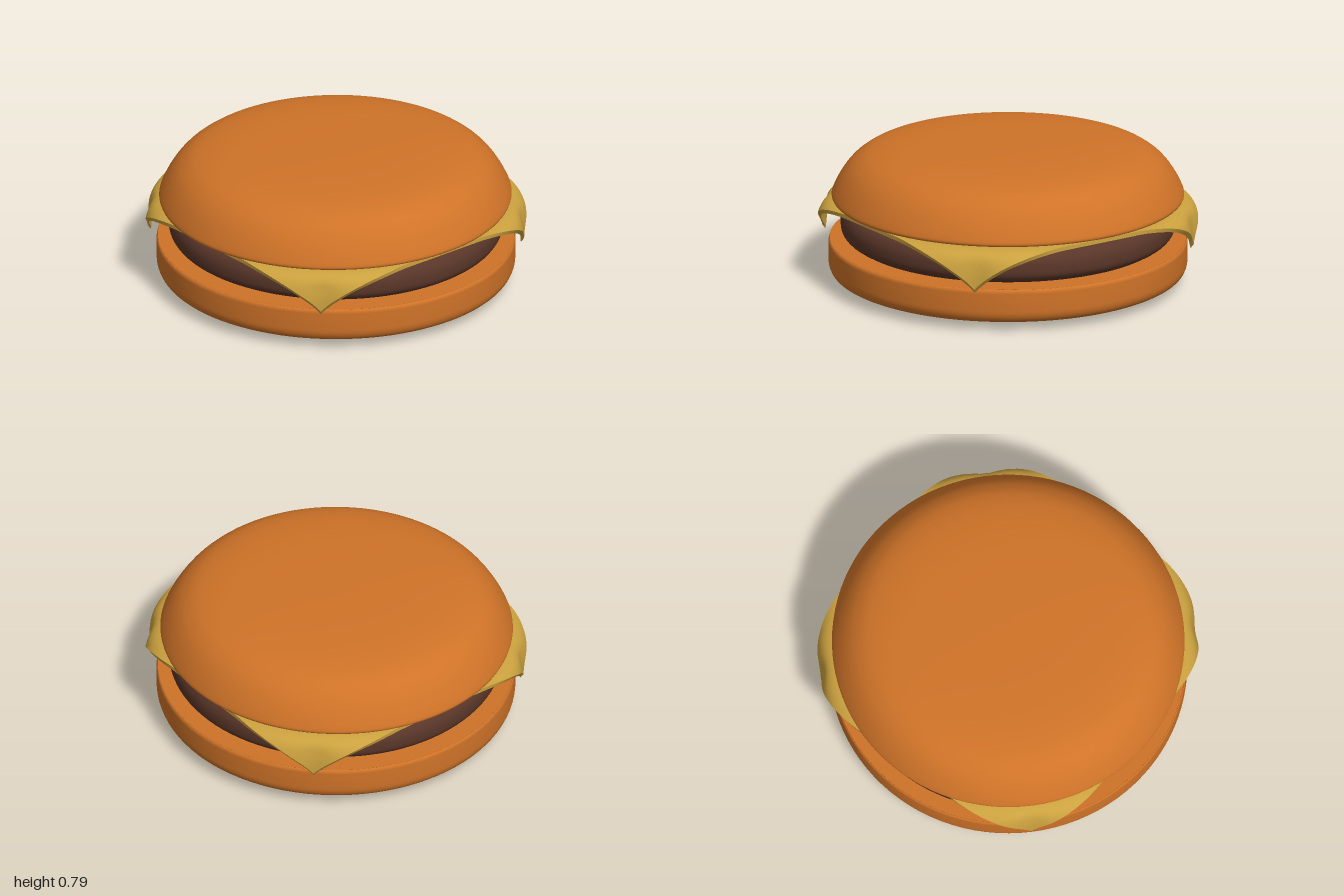
import * as THREE from 'three';

const BUN = 0xcf7328, PATTY = 0x5a3629, CHEESE = 0xcca23f;

// Smooth round body turned from a few [radius, height] points, bottom to top
function turned(name, color, points) {
  const curve = new THREE.SplineCurve(points.map(([r, y]) => new THREE.Vector2(r, y)));
  const profile = curve.getPoints(points.length * 4).map(p => p.setX(Math.max(p.x, 0)));
  const mesh = new THREE.Mesh(
    new THREE.LatheGeometry(profile, 96),
    new THREE.MeshStandardMaterial({ color }));
  mesh.name = name;
  return mesh;
}

// Square slice whose corners fold down where they overhang the patty
function cheeseSlice() {
  const half = 0.92, thick = 0.022, bend = 0.96, top = 0.474;
  const reach = half * Math.SQRT2 - bend;
  const geo = new THREE.BoxGeometry(2 * half, thick, 2 * half, 48, 1, 48);
  const pos = geo.attributes.position;
  for (let i = 0; i < pos.count; i++) {
    const x = pos.getX(i), z = pos.getZ(i), under = pos.getY(i) < 0;
    const r = Math.hypot(x, z);
    const over = Math.max(r - bend, 0), t = over / reach;
    // slight pinch along each corner's diagonal
    const off = Math.atan2(Math.abs(z), Math.abs(x)) - Math.PI / 4;
    const pinch = 0.025 * Math.exp(-((off / 0.09) ** 2)) * Math.min(t * 2, 1);
    const out = Math.min(r, bend) + 0.12 * (1 - Math.exp(-over / 0.1)) - pinch
      - (under ? 0.018 * Math.min(t * 2, 1) : 0);
    const k = r > 0 ? out / r : 1;
    pos.setXYZ(i, x * k, top - 0.21 * t ** 1.4 - (under ? thick : 0), z * k);
  }
  geo.computeVertexNormals();
  const mesh = new THREE.Mesh(geo, new THREE.MeshStandardMaterial({ color: CHEESE }));
  mesh.name = 'cheeseSlice';
  mesh.rotation.y = 0.05;
  return mesh;
}

export function createModel() {
  const burger = new THREE.Group();
  burger.name = 'burger';

  // Lower bun: rounded underneath, crisp upper rim
  burger.add(turned('bottomBun', BUN, [
    [0, 0.003], [0.4, 0.007], [0.7, 0.018], [0.88, 0.035], [0.965, 0.057], [0.995, 0.095],
    [1, 0.15], [1, 0.21], [0.998, 0.237], [0.985, 0.25], [0.95, 0.252], [0.5, 0.252], [0, 0.252]]));

  // Meat patty with a rounded rim
  burger.add(turned('patty', PATTY, [
    [0, 0.25], [0.5, 0.25], [0.82, 0.252], [0.89, 0.268], [0.925, 0.3], [0.932, 0.345],
    [0.925, 0.39], [0.895, 0.43], [0.82, 0.447], [0.5, 0.449], [0, 0.449]]));

  burger.add(cheeseSlice());

  // Domed upper bun, resting at a very slight tilt
  const topBun = turned('topBun', BUN, [
    [0, 0.477], [0.5, 0.477], [0.88, 0.478], [0.96, 0.484], [0.981, 0.497], [0.975, 0.525],
    [0.945, 0.585], [0.905, 0.645], [0.855, 0.695], [0.78, 0.738], [0.65, 0.767],
    [0.45, 0.782], [0.2, 0.788], [0, 0.789]]);
  topBun.rotation.set(0.006, 0, 0.003);
  burger.add(topBun);

  return burger;
}
